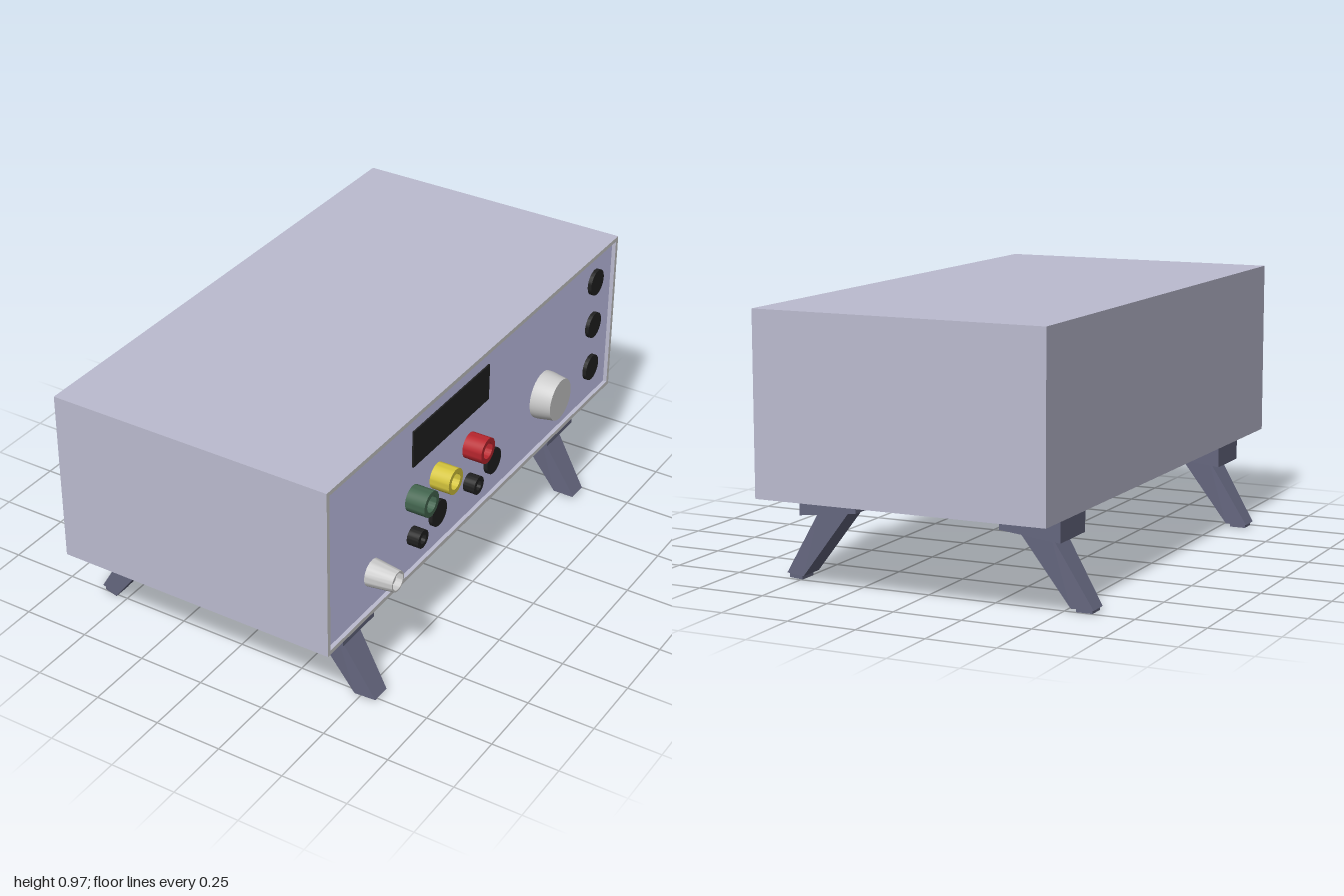
import * as THREE from 'three';
import { toCreasedNormals } from 'three/addons/utils/BufferGeometryUtils.js';
import { ConvexGeometry } from 'three/addons/geometries/ConvexGeometry.js';

const mat = (color) => new THREE.MeshStandardMaterial({ color });
const M = {
  grey: mat(0xcccccc), body: mat(0xbcbcd0), panel: mat(0xc8c8f0), leg: mat(0x65677f),
  black: mat(0x202020), green: mat(0x446650), yellow: mat(0xd4c43c), red: mat(0xb8262e),
};
const PANEL_X = 0.505;

export function createModel() {
  const root = new THREE.Group();

  const add = (name, geometry, material, parent = root) => {
    const mesh = new THREE.Mesh(geometry, material);
    mesh.name = name;
    parent.add(mesh);
    return mesh;
  };
  const box = (name, x0, x1, y0, y1, z0, z1, material) =>
    add(name, new THREE.BoxGeometry(x1 - x0, y1 - y0, z1 - z0), material)
      .position.set((x0 + x1) / 2, (y0 + y1) / 2, (z0 + z1) / 2);

  // Turned part standing out of the panel; profile is [radius, height] pairs
  const turned = (name, profile, y, z, material) => {
    const pts = profile.map(([r, h]) => new THREE.Vector2(r, h));
    const g = toCreasedNormals(new THREE.LatheGeometry(pts, 40), 0.6);
    g.rotateZ(-Math.PI / 2);
    add(name, g, material).position.set(PANEL_X, y, z);
  };
  const disc = (r, h) => [[0, 0], [r, 0], [r, h], [0, h]];
  const cup = (r, h, inner, floor) => [[0, 0], [r, 0], [r, h], [inner, h], [inner, floor], [0, floor]];

  // Case with a shallow rim around the control panel
  box('case', -0.55, 0.5, 0.33, 0.97, -1, 1, M.body);
  const rect = (shape, w, h) => shape.moveTo(-w, -h).lineTo(w, -h).lineTo(w, h).lineTo(-w, h).closePath();
  const rim = new THREE.Shape();
  rect(rim, 1, 0.32);
  const opening = new THREE.Path();
  rect(opening, 0.984, 0.304);
  rim.holes.push(opening);
  const rimGeo = new THREE.ExtrudeGeometry(rim, { depth: 0.02, bevelEnabled: false });
  rimGeo.rotateY(Math.PI / 2);
  add('panelRim', rimGeo, [M.grey, M.body]).position.set(0.5, 0.65, 0);
  box('controlPanel', 0.5, PANEL_X, 0.346, 0.954, -0.984, 0.984, M.panel);
  box('display', PANEL_X, 0.511, 0.757, 0.897, -0.052, 0.457, M.black);

  // Coloured terminals with a dark floor
  for (const [colour, z] of [['green', 0.45], ['yellow', 0.29], ['red', 0.068]]) {
    turned(colour + 'Terminal', cup(0.048, 0.075, 0.03, 0.03), 0.632, z, M[colour]);
    turned(colour + 'TerminalCore', disc(0.029, 0.034), 0.632, z, M.black);
  }

  // Small sockets and flat buttons
  for (const z of [0.45, 0.07]) turned('smallSocket', cup(0.034, 0.045, 0.018, 0.015), 0.478, z, M.black);
  for (const z of [0.29, -0.092]) turned('button', disc(0.05, 0.015), 0.48, z, M.black);
  for (const y of [0.845, 0.663, 0.479]) turned('sideButton', disc(0.05, 0.015), y, -0.848, M.black);

  // Tapered coaxial connector with sleeve and pin
  turned('coaxialConnector',
    [[0, 0], [0.05, 0], [0.038, 0.1], [0.032, 0.1], [0.032, 0.04], [0.02, 0.04], [0.02, 0.08],
      [0.013, 0.08], [0.013, 0.04], [0.006, 0.04], [0.006, 0.08], [0, 0.08]], 0.482, 0.705, M.grey);

  // Large knob
  turned('knob', [[0, 0], [0.09, 0], [0.09, 0.018], [0.08, 0.078], [0, 0.078]], 0.559, -0.465, M.grey);

  // Solid between a lower and an upper quad; each corner is [x, y, z]
  const solid = (name, corners, parent) =>
    add(name, new ConvexGeometry(corners.map((c) => new THREE.Vector3(...c))), M.leg, parent);
  // Pair of corners at the same x and y
  const edge = (x, y, z0, z1) => [[x, y, z0], [x, y, z1]];

  // Splayed feet: the far pair is the near pair turned half a circle
  for (const [z, turn] of [[0.733, 0], [-0.703, 0], [0.718, Math.PI], [-0.716, Math.PI]]) {
    const foot = new THREE.Group();
    foot.name = turn ? 'rearLeg' : 'panelSideLeg';
    solid('mountingBlock', [
      ...edge(0.2725, 0.33, -0.098, 0.098), ...edge(0.4925, 0.33, -0.098, 0.098),
      ...edge(0.2725, 0.265, -0.098, 0.098), ...edge(0.4925, 0.24, -0.098, 0.098)], foot);
    solid('splayedLeg', [
      ...edge(0.315, 0.268, -0.055, 0.055), ...edge(0.437, 0.257, -0.055, 0.055),
      ...edge(0.5075, 0.015, -0.053, 0.05), ...edge(0.5875, 0.015, -0.028, 0.045)], foot);
    solid('footPad', [
      ...edge(0.518, 0.016, -0.042, 0.03), ...edge(0.577, 0.016, -0.028, 0.03),
      ...edge(0.518, 0, -0.042, 0.03), ...edge(0.577, 0, -0.028, 0.03)], foot);
    foot.position.set(-0.0225, 0, z);
    foot.rotation.y = turn;
    root.add(foot);
  }

  return root;
}
